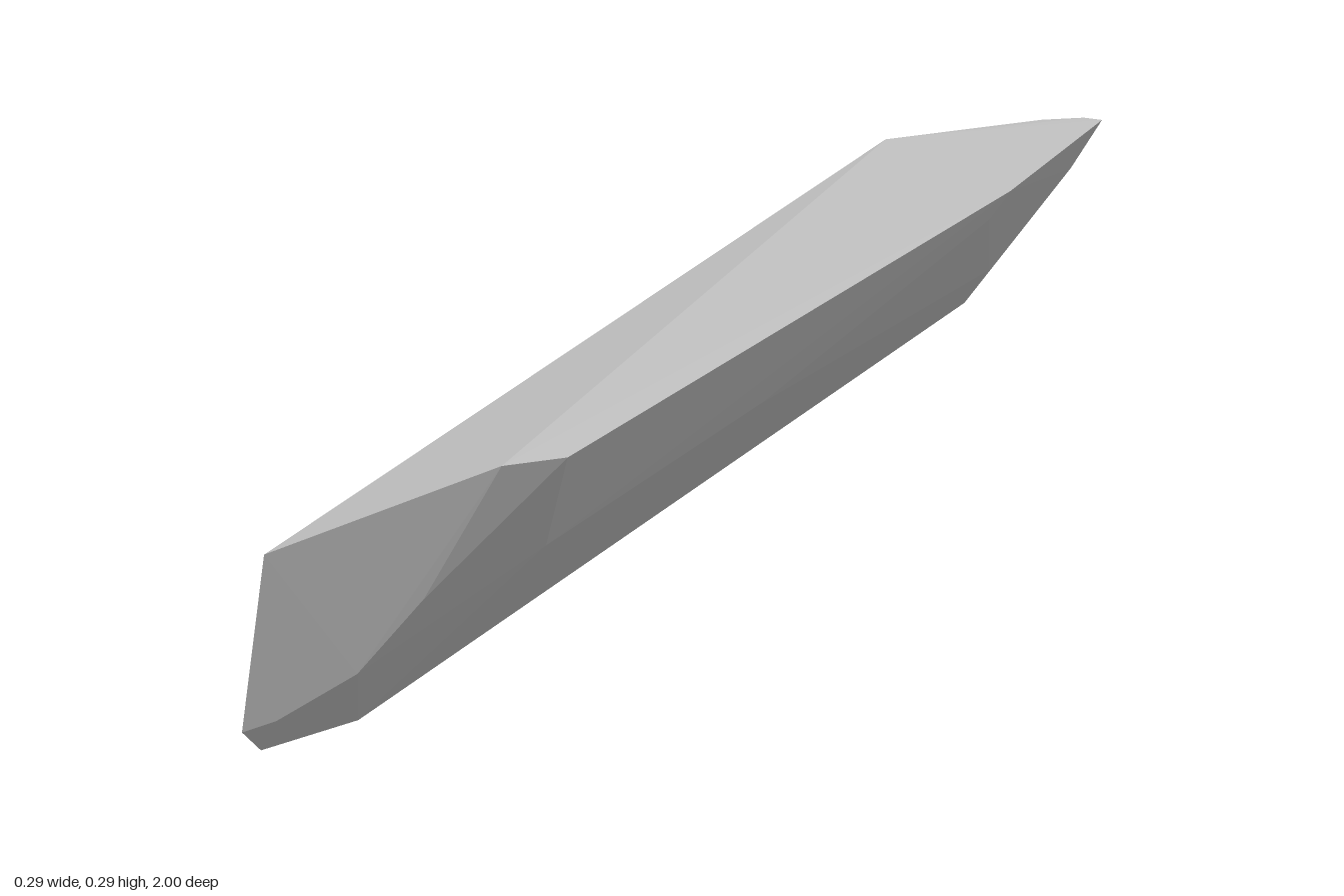
import * as THREE from 'three';
import { ConvexGeometry } from 'three/addons/geometries/ConvexGeometry.js';

// Long faceted stone shard: corner points wrapped in a convex skin
export function createModel() {
  const group = new THREE.Group();
  group.name = 'stoneShard';

  const stone = new THREE.MeshStandardMaterial({ color: 0xc3c3c3 });
  stone.name = 'light grey stone';

  // pointed front end
  const frontEnd = [
    [-0.078, 0.22, 1], [0.105, 0.293, 0.91], [0.145, 0.292, 0.86],
    [-0.143, 0.03, 0.93], [-0.146, 0, 0.89], [-0.115, 0.04, 0.918],
    [-0.045, 0.085, 0.895], [0.02, 0.16, 0.892],
    [0.097, 0.192, 0.8], [-0.083, 0.014, 0.82],
  ];
  // long sides
  const middle = [
    [0.145, 0.292, -0.45], [0.128, 0.262, -0.42],
    [0.095, 0.194, 0.25], [-0.128, 0.278, -0.8],
  ];
  // chipped back end
  const backEnd = [
    [0.11, 0.29, -0.97], [0.08, 0.288, -0.99], [0.02, 0.28, -1],
    [-0.004, 0.2, -1], [-0.134, 0.09, -1], [-0.146, 0.004, -0.96],
    [-0.067, 0.038, -0.95], [0.012, 0.118, -0.8], [0.078, 0.23, -0.94],
  ];

  const corners = [...frontEnd, ...middle, ...backEnd].map((p) => new THREE.Vector3(...p));
  const shard = new THREE.Mesh(new ConvexGeometry(corners), stone);
  shard.name = 'shard';
  group.add(shard);
  return group;
}
